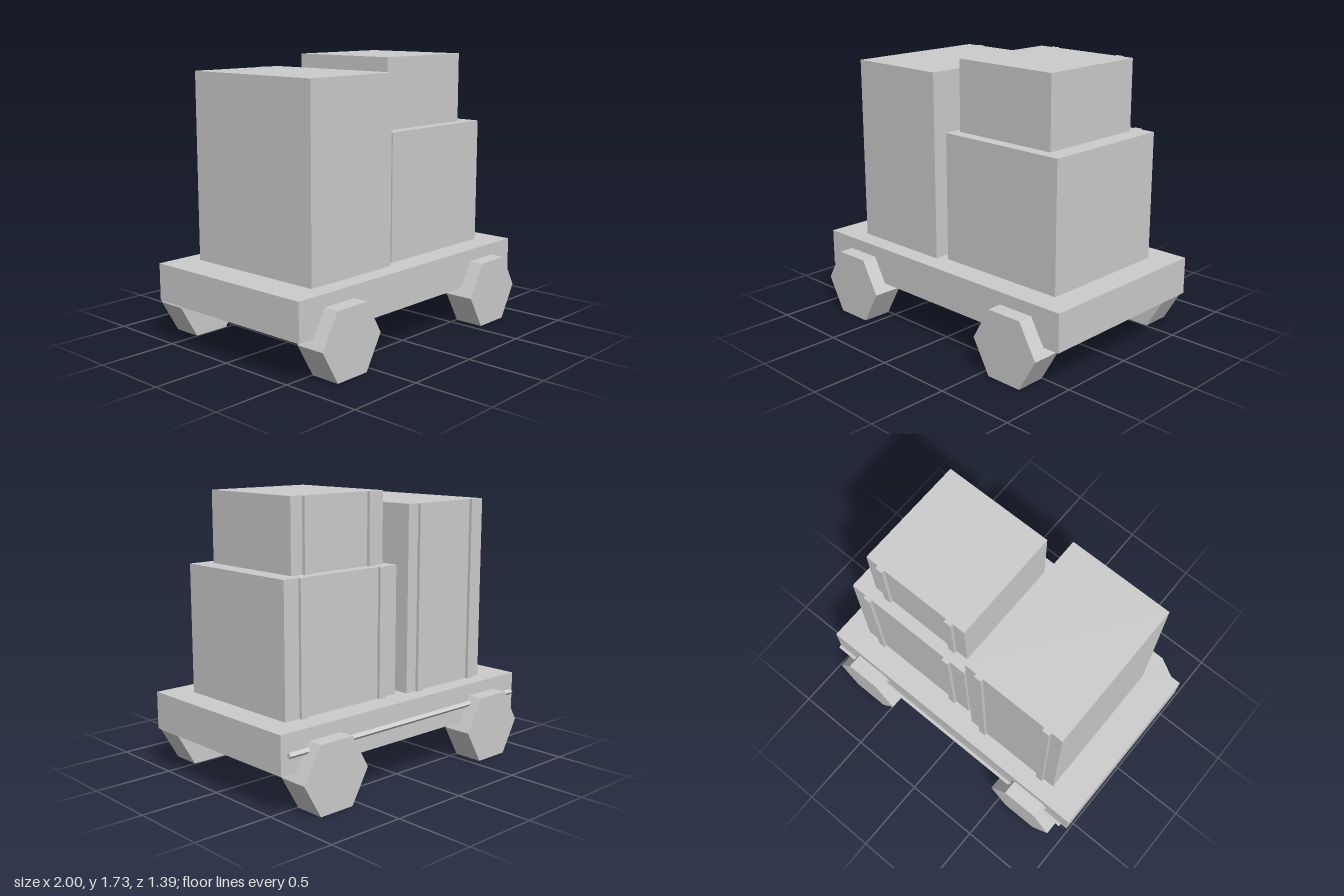
import * as THREE from 'three';

export function createModel() {
  const model = new THREE.Group();
  model.name = 'loadedCart';
  const grey = new THREE.MeshStandardMaterial({ color: 0xcccccc, flatShading: true });
  grey.name = 'light grey';

  const add = (name, geometry, x, y, z, parent = model) => {
    const mesh = new THREE.Mesh(geometry, grey);
    mesh.name = name;
    mesh.position.set(x, y, z);
    parent.add(mesh);
    return mesh;
  };
  // Box given by its limits on each axis
  const box = (name, x0, x1, y0, y1, z0, z1, parent) =>
    add(name, new THREE.BoxGeometry(x1 - x0, y1 - y0, z1 - z0),
      (x0 + x1) / 2, (y0 + y1) / 2, (z0 + z1) / 2, parent);

  // Flat cart bed
  box('bed', -1, 1, 0.255, 0.49, -0.598, 0.598);

  // Six-sided wheels, corners pointing along x
  const wheel = new THREE.CylinderGeometry(0.239, 0.239, 0.19, 6, 1, false, Math.PI / 2);
  wheel.rotateX(Math.PI / 2);
  for (const x of [-0.68, 0.68]) {
    for (const z of [-0.6, 0.6]) {
      add(`${z > 0 ? 'front' : 'back'}${x > 0 ? 'Left' : 'Right'}Wheel`, wheel, x, 0.207, z);
    }
  }

  // Thin four-sided rail along the back of the bed
  const rail = new THREE.CylinderGeometry(0.018, 0.018, 1.92, 4);
  rail.rotateZ(Math.PI / 2);
  add('backRail', rail, 0, 0.37, -0.618);

  // Cargo boxes, each with two upright strips on the back
  const crates = [
    { name: 'tallCrate', x: [-0.78, -0.1], y: [0.49, 1.65], z: 0.48, strips: [-0.68, -0.205] },
    { name: 'wideCrate', x: [-0.04, 0.835], y: [0.49, 1.29], z: 0.44, strips: [0.09, 0.707] },
    { name: 'topCrate', x: [0, 0.717], y: [1.29, 1.73], z: 0.362, strips: [0.105, 0.608] },
  ];
  for (const c of crates) {
    const crate = new THREE.Group();
    crate.name = c.name;
    model.add(crate);
    box(`${c.name}Body`, ...c.x, ...c.y, -c.z, c.z, crate);
    for (const x of c.strips) {
      box(`${c.name}Strip`, x - 0.024, x + 0.024, ...c.y, -c.z - 0.02, -c.z, crate);
    }
  }
  return model;
}
